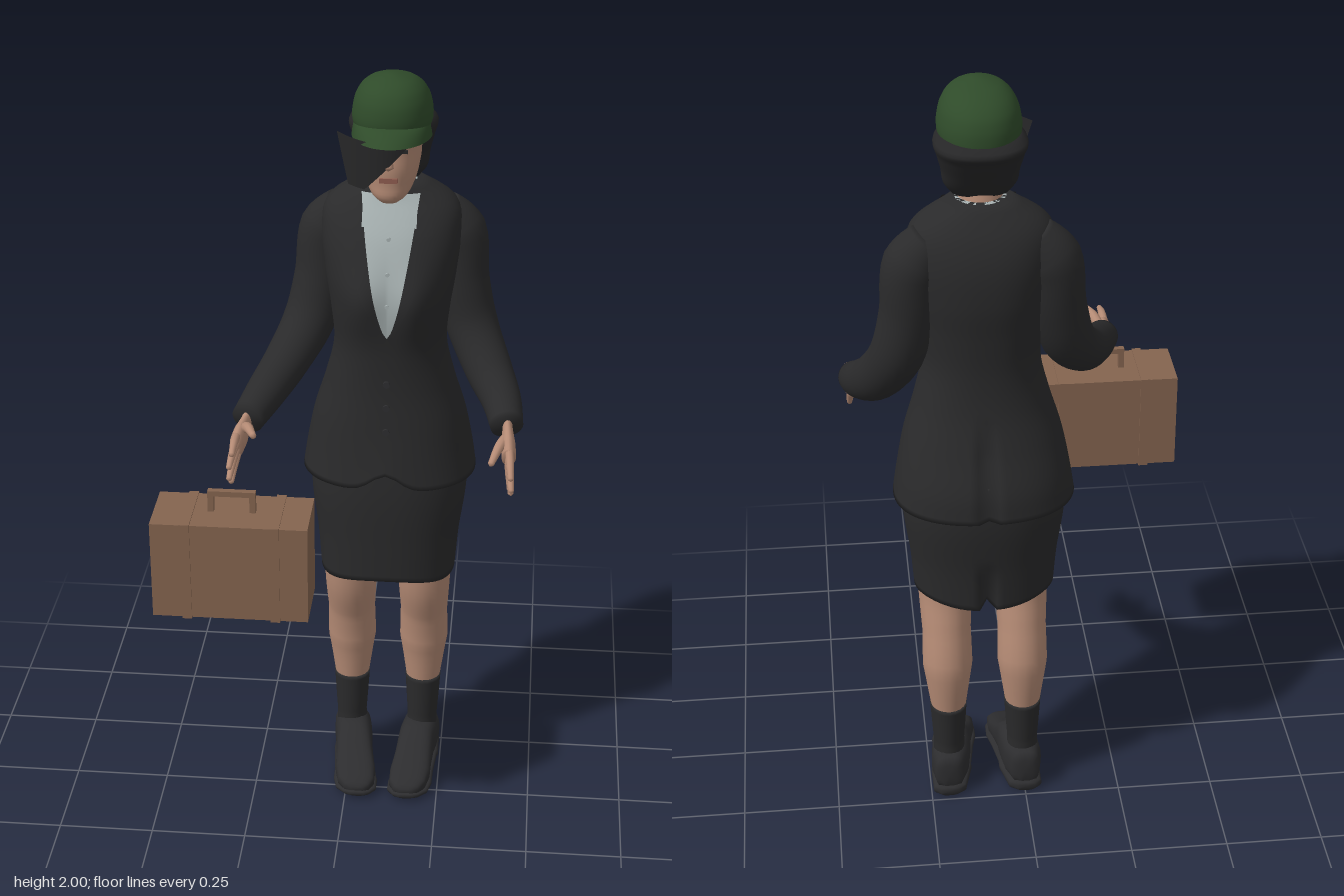
import * as THREE from 'three';

const V = (x, y, z) => new THREE.Vector3(x, y, z);
const CX = 0.1; // the figure stands a little to its left of the origin

const mat = (name, color, side = THREE.FrontSide) => {
  const m = new THREE.MeshStandardMaterial({ color, side });
  m.name = name;
  return m;
};

function build(points, index) {
  const g = new THREE.BufferGeometry().setFromPoints(points);
  g.setIndex(index);
  g.computeVertexNormals();
  return g;
}

// Closed skin over a row of equal rings, with a fan to a point at each end
function loft(rings, first, last) {
  const n = rings[0].length, pts = rings.flat(), idx = [];
  for (let r = 0; r < rings.length - 1; r++)
    for (let i = 0; i < n; i++) {
      const a = r * n + i, b = r * n + (i + 1) % n;
      idx.push(a, b, a + n, b, b + n, a + n);
    }
  const end = (rings.length - 1) * n;
  pts.push(first, last);
  for (let i = 0; i < n; i++) {
    const j = (i + 1) % n;
    idx.push(j, i, pts.length - 2, end + i, end + j, pts.length - 1);
  }
  return build(pts, idx);
}

// Open curved sheet from f(u, v), both 0..1
function sheet(nu, nv, f) {
  const pts = [], idx = [];
  for (let j = 0; j <= nv; j++) for (let i = 0; i <= nu; i++) pts.push(f(i / nu, j / nv));
  for (let j = 0; j < nv; j++)
    for (let i = 0; i < nu; i++) {
      const a = j * (nu + 1) + i, c = a + nu + 1;
      idx.push(a, a + 1, c, a + 1, c + 1, c);
    }
  return build(pts, idx);
}

// Round limb along points [x, y, z, radius]; flat thins it sideways
function limb(p, { flat = 1, cap = 0.5, n = 20, steps = 24 } = {}) {
  const curve = new THREE.CatmullRomCurve3(p.map(q => V(q[0], q[1], q[2])));
  const rings = [], ends = [];
  for (let k = 0; k <= steps; k++) {
    const t = k / steps, s = t * (p.length - 1), i = Math.min(Math.floor(s), p.length - 2);
    const r = THREE.MathUtils.lerp(p[i][3], p[i + 1][3], s - i);
    const c = curve.getPoint(t), T = curve.getTangent(t);
    const B = T.clone().cross(V(1, 0, 0)).normalize(), N = B.clone().cross(T);
    rings.push(Array.from({ length: n }, (_, m) => {
      const a = m / n * Math.PI * 2;
      return c.clone().addScaledVector(N, Math.cos(a) * r * flat).addScaledVector(B, Math.sin(a) * r);
    }));
    if (k === 0) ends.push(c.clone().addScaledVector(T, -cap * r));
    if (k === steps) ends.push(c.clone().addScaledVector(T, cap * r));
  }
  return loft(rings, ends[0], ends[1]);
}

// Smooth lookup in rows of [y, half width, front z, back z]
function profile(rows) {
  const f = new THREE.CubicInterpolant(rows.map(r => r[0]), rows.flatMap(r => r.slice(1)), 3);
  return y => Array.from(f.evaluate(y));
}

// Upright body from rows, with an optional rule that moves each vertex
function trunk(rows, { e = 2.3, n = 72, steps = 40, move = v => v } = {}) {
  const at = profile(rows), y0 = rows[0][0], y1 = rows[rows.length - 1][0], rings = [];
  const sp = c => Math.sign(c) * Math.pow(Math.abs(c), 2 / e);
  const mid = y => { const [, f, b] = at(y); return V(CX, y, (f + b) / 2); };
  for (let k = 0; k <= steps; k++) {
    const y = y0 + (y1 - y0) * k / steps, [w, f, b] = at(y);
    rings.push(Array.from({ length: n }, (_, i) => {
      const a = i / n * Math.PI * 2;
      return move(V(CX + w * sp(Math.cos(a)), y, (f + b) / 2 - (f - b) / 2 * sp(Math.sin(a))), a);
    }));
  }
  return loft(rings, mid(y0), mid(y1));
}

export function createModel() {
  const model = new THREE.Group();
  const D = THREE.DoubleSide;
  const suit = mat('charcoal suit', 0x2a2a2b, D), skin = mat('skin', 0xb58b75);
  const shirt = mat('pale grey shirt', 0xa6b0b0, D), green = mat('green felt', 0x2f4b2a, D);
  const hair = mat('black hair', 0x262627, D), brown = mat('brown leather', 0x84644f);
  const shoe = mat('dark shoe leather', 0x2d2d2f), lip = mat('lips', 0x8f5d50);
  const add = (name, geo, m, parent = model) => {
    const o = new THREE.Mesh(geo, m);
    o.name = name;
    parent.add(o);
    return o;
  };
  const box = (name, x0, x1, y0, y1, z0, z1, m, parent) =>
    add(name, new THREE.BoxGeometry(x1 - x0, y1 - y0, z1 - z0), m, parent)
      .position.set((x0 + x1) / 2, (y0 + y1) / 2, (z0 + z1) / 2);
  const bell = (d, s) => Math.exp(-d * d / (s * s));

  // Jacket: flared hem with a front cutaway and a back vent
  const jacketRows = [[0.935, 0.225, 0.01, -0.35], [1.0, 0.215, 0.002, -0.343], [1.1, 0.195, -0.008, -0.312],
    [1.2, 0.165, -0.015, -0.287], [1.3, 0.143, -0.012, -0.28], [1.4, 0.15, -0.002, -0.288], [1.5, 0.165, -0.004, -0.3],
    [1.6, 0.175, -0.035, -0.295], [1.66, 0.165, -0.07, -0.275], [1.69, 0.135, -0.09, -0.257],
    [1.71, 0.1, -0.1, -0.243], [1.725, 0.074, -0.105, -0.23]];
  const bust = (x, y) => 0.022 * bell(Math.abs(x - CX) - 0.07, 0.05) * bell(y - 1.45, 0.08);
  add('jacket', trunk(jacketRows, {
    steps: 60, move: v => {
      const low = Math.max(0, 1 - (v.y - 0.935) / 0.15), d = v.x - CX;
      if (v.z > -0.15) {
        v.z += bust(v.x, v.y);
        v.y += 0.045 * low * bell(d, 0.05);
      } else if (v.y < 1.2) v.z += 0.02 * bell(d, 0.008) * Math.min(1, (1.2 - v.y) / 0.1);
      return v;
    }
  }), suit);
  const jacketAt = profile(jacketRows);
  const chest = (x, y, lift) => {
    const [w, f, b] = jacketAt(y), q = Math.min(1, Math.abs(x - CX) / w);
    return V(x, y, (f + b) / 2 + (f - b) / 2 * Math.pow(1 - q ** 2.3, 1 / 2.3) + bust(x, y) + lift);
  };

  // Shirt front in the V, lapels beside it, and buttons
  const vee = y => 0.072 * Math.pow(Math.max(0, (y - 1.36) / 0.345), 0.65);
  add('shirtFront', sheet(16, 24, (u, v) => {
    const y = 1.36 + 0.345 * v;
    return chest(CX + (2 * u - 1) * vee(y), y, 0.005);
  }), shirt);
  for (const s of [-1, 1]) {
    const lapel = (name, y0, y1, w0, w1) => add(name, sheet(8, 16, (u, v) => {
      const y = y0 + (y1 - y0) * v;
      return chest(CX + s * (vee(y) + u * (w0 + (w1 - w0) * v)), y + 0.01 * u * v, 0.009);
    }), suit);
    lapel('lapel', 1.36, 1.6, 0.004, 0.062);
    lapel('jacketCollar', 1.615, 1.7, 0.05, 0.015);
    add('shirtCollarPoint', sheet(4, 6, (u, v) =>
      chest(CX + s * (0.012 + 0.055 * u), 1.645 + 0.055 * v + 0.02 * (1 - u) * v - 0.01 * u, 0.014)), shirt);
  }
  const button = (y, m, r) => {
    const o = add('button', new THREE.CylinderGeometry(r, r, 0.006, 12).rotateX(Math.PI / 2), m);
    o.position.copy(chest(CX, y, 0.007));
  };
  [1.1, 1.165, 1.23].forEach(y => button(y, shoe, 0.009));
  [1.45, 1.53, 1.61].forEach(y => button(y, shirt, 0.005));
  add('shirtCollar', trunk([[1.67, 0.074, -0.088, -0.235], [1.7, 0.068, -0.092, -0.228], [1.725, 0.061, -0.096, -0.218]],
    { e: 2, n: 36, steps: 6 }), shirt);

  // Skirt with a slightly uneven hem and a back slit
  add('skirt', trunk([[0.64, 0.178, -0.01, -0.29], [0.75, 0.186, -0.006, -0.3], [0.9, 0.203, -0.002, -0.32],
    [1.02, 0.195, -0.01, -0.32]], {
    steps: 24, move: (v, a) => {
      const low = Math.max(0, 1 - (v.y - 0.64) / 0.15);
      if (v.z < -0.15) v.z += 0.05 * low * bell(v.x - CX, 0.01);
      v.y += low * 0.008 * (1 + Math.sin(a * 3));
      return v;
    }
  }), suit);

  // Legs, socks and shoes, mirrored about the body line
  for (const s of [-1, 1]) {
    const X = CX + s * 0.098, side = s > 0 ? 'left' : 'right';
    add(side + 'Leg', limb([[X, 0.72, -0.12, 0.078], [X, 0.6, -0.128, 0.073], [X, 0.5, -0.155, 0.067],
      [X, 0.4, -0.173, 0.069], [X, 0.25, -0.175, 0.046]], { flat: 0.94 }), skin);
    add(side + 'Sock', limb([[X, 0.08, -0.17, 0.046], [X, 0.15, -0.17, 0.045], [X, 0.275, -0.174, 0.054]],
      { flat: 0.9, cap: 0 }), suit);
    // rows: z, half width, bottom, top
    const shoeLoft = rows => {
      const rings = rows.map(([z, w, b, t]) => Array.from({ length: 24 }, (_, i) => {
        const a = i / 24 * Math.PI * 2, sp = c => Math.sign(c) * Math.pow(Math.abs(c), 0.7);
        return V(X - s * 0.12 * (z + 0.2) + w * sp(Math.cos(a)), (b + t) / 2 + (t - b) / 2 * sp(Math.sin(a)), z);
      }));
      const mid = r => V(X - s * 0.12 * (r[0] + 0.2), (r[2] + r[3]) / 2, r[0]);
      return loft(rings, mid(rows[0]), mid(rows[rows.length - 1]));
    };
    add(side + 'Shoe', shoeLoft([[-0.232, 0.02, 0.03, 0.1], [-0.225, 0.038, 0.02, 0.125], [-0.19, 0.05, 0.02, 0.135],
      [-0.14, 0.052, 0.02, 0.14], [-0.1, 0.05, 0.02, 0.138], [-0.06, 0.051, 0.02, 0.105], [-0.01, 0.055, 0.015, 0.077],
      [0.03, 0.05, 0.015, 0.062], [0.05, 0.035, 0.018, 0.05], [0.058, 0.018, 0.022, 0.04]]), shoe);
    add(side + 'Sole', shoeLoft([[-0.238, 0.025, 0.004, 0.03], [-0.225, 0.044, 0.001, 0.034], [-0.15, 0.054, 0.001, 0.034],
      [-0.135, 0.053, 0.016, 0.034], [-0.06, 0.055, 0.006, 0.03], [-0.01, 0.06, 0.003, 0.026], [0.03, 0.055, 0.005, 0.026],
      [0.055, 0.036, 0.01, 0.028], [0.064, 0.02, 0.014, 0.028]]), shoe);
  }

  // Arms and hands reaching forward; fingers run knuckle to tip
  const arm = (side, sleeve, wrist, knuckle, tips, thumb) => {
    add(side + 'Sleeve', limb(sleeve, { steps: 36, n: 28, cap: 0.15 }), suit);
    const hand = new THREE.Group();
    hand.name = side + 'Hand';
    model.add(hand);
    const along = (t, r) => [0, 1, 2].map(i => wrist[i] + (knuckle[i] - wrist[i]) * t).concat(r);
    add('palm', limb([along(-0.3, 0.028), along(0.1, 0.027), along(0.6, 0.038), along(1, 0.037)], { flat: 0.48 }), skin, hand);
    tips.forEach((t, i) => {
      const b = V(knuckle[0], knuckle[1] + (1.5 - i) * 0.017, knuckle[2] - (i > 1 ? 0.01 : 0) * (i - 1));
      add('finger', limb([[b.x, b.y, b.z, 0.011], [(b.x + t[0]) / 2, (b.y + t[1]) / 2 + 0.006, (b.z + t[2]) / 2, 0.01],
        [t[0], t[1], t[2], 0.007]], { n: 10, steps: 8, cap: 0.9 }), skin, hand);
    });
    const m = along(0.35, 0.016);
    add('thumb', limb([m, [(m[0] + thumb[0]) / 2, (m[1] + thumb[1]) / 2 + 0.012, (m[2] + thumb[2]) / 2, 0.013],
      [...thumb, 0.008]], { n: 10, steps: 8, cap: 0.9 }), skin, hand);
  };
  arm('left', [[0.215, 1.635, -0.195, 0.055], [0.262, 1.575, -0.2, 0.072], [0.277, 1.45, -0.195, 0.068],
    [0.305, 1.33, -0.18, 0.066], [0.352, 1.235, -0.115, 0.06], [0.388, 1.185, -0.04, 0.05], [0.405, 1.15, 0.035, 0.041]],
  [0.406, 1.15, 0.035], [0.413, 1.1, 0.11],
  [[0.42, 1.09, 0.203], [0.422, 1.055, 0.198], [0.421, 1.033, 0.17], [0.418, 1.024, 0.13]], [0.37, 1.105, 0.155]);
  arm('right', [[-0.015, 1.635, -0.195, 0.055], [-0.062, 1.575, -0.2, 0.072], [-0.08, 1.45, -0.188, 0.068],
    [-0.108, 1.34, -0.155, 0.066], [-0.155, 1.262, -0.075, 0.058], [-0.2, 1.215, 0.03, 0.05], [-0.234, 1.185, 0.122, 0.041]],
  [-0.235, 1.182, 0.122], [-0.25, 1.155, 0.205],
  [[-0.25, 1.175, 0.295], [-0.256, 1.145, 0.307], [-0.257, 1.112, 0.302], [-0.256, 1.09, 0.275]], [-0.203, 1.205, 0.25]);

  // Neck, head and face
  add('neck', limb([[CX, 1.64, -0.175, 0.06], [CX, 1.7, -0.155, 0.054], [CX, 1.78, -0.135, 0.055]]), skin);
  add('head', trunk([[1.706, 0.022, -0.026, -0.07], [1.718, 0.04, -0.016, -0.105], [1.75, 0.06, -0.013, -0.17],
    [1.79, 0.07, -0.01, -0.2], [1.83, 0.075, -0.014, -0.22], [1.87, 0.077, -0.015, -0.23], [1.91, 0.075, -0.03, -0.23]],
  { e: 2.1, n: 40, steps: 24 }), skin);
  add('nose', limb([[CX, 1.85, -0.016, 0.007], [CX, 1.825, -0.006, 0.01], [CX, 1.803, -0.002, 0.013]], { n: 12, steps: 8 }), skin);
  box('mouth', CX - 0.022, CX + 0.022, 1.763, 1.775, -0.016, -0.0075, lip);
  for (const s of [-1, 1]) {
    box('eye', CX + s * 0.033 - 0.012, CX + s * 0.033 + 0.012, 1.835, 1.843, -0.026, -0.018, hair);
    box('eyebrow', CX + s * 0.034 - 0.016, CX + s * 0.034 + 0.016, 1.856, 1.861, -0.026, -0.017, hair);
  }

  // Bobbed hair with a pointed fringe across one eye
  add('hair', trunk([[1.735, 0.066, -0.12, -0.195], [1.76, 0.085, -0.1, -0.215], [1.8, 0.092, -0.09, -0.242],
    [1.84, 0.102, -0.075, -0.268], [1.872, 0.108, -0.065, -0.286], [1.89, 0.09, -0.06, -0.25]],
  { n: 48, steps: 20 }), hair);
  add('fringe', sheet(16, 10, (u, v) => {
    const y = 1.745 + 0.123 * v, x0 = 0.0 - 0.03 * v, x1 = 0.042 + 0.113 * v, x = x0 + (x1 - x0) * u;
    return V(x, y, 0.005 + 0.008 * v - 0.09 * ((x - CX) / 0.13) ** 2);
  }), hair);

  // Cap crown and drooping brim
  add('capCrown', trunk([[1.868, 0.093, -0.03, -0.264], [1.89, 0.098, -0.022, -0.265], [1.92, 0.096, -0.022, -0.261],
    [1.95, 0.087, -0.031, -0.246], [1.975, 0.069, -0.05, -0.215], [1.99, 0.046, -0.075, -0.18], [1.999, 0.015, -0.105, -0.14]],
  { e: 2.15, n: 48, steps: 26 }), green);
  add('capBrim', sheet(32, 6, (u, v) => {
    const a = (u - 0.5) * Math.PI * 0.95, c = Math.cos(a);
    return V(CX + (0.092 + 0.006 * v) * Math.sin(a), 1.895 - 0.012 * v - 0.022 * v * v - 0.012 * (1 - c),
      -0.13 + (0.105 + 0.057 * v) * c);
  }), green);

  // Suitcase with straps and a squared handle
  const bag = new THREE.Group();
  bag.name = 'suitcase';
  model.add(bag);
  box('caseBody', -0.448, -0.062, 0.75, 1.008, 0.19, 0.356, brown, bag);
  for (const x of [-0.362, -0.143]) box('strap', x - 0.012, x + 0.012, 0.747, 1.011, 0.186, 0.36, brown, bag);
  for (const x of [-0.315, -0.212]) box('handlePost', x, x + 0.015, 1.005, 1.05, 0.264, 0.28, brown, bag);
  box('handleGrip', -0.315, -0.197, 1.05, 1.064, 0.264, 0.28, brown, bag);

  return model;
}
